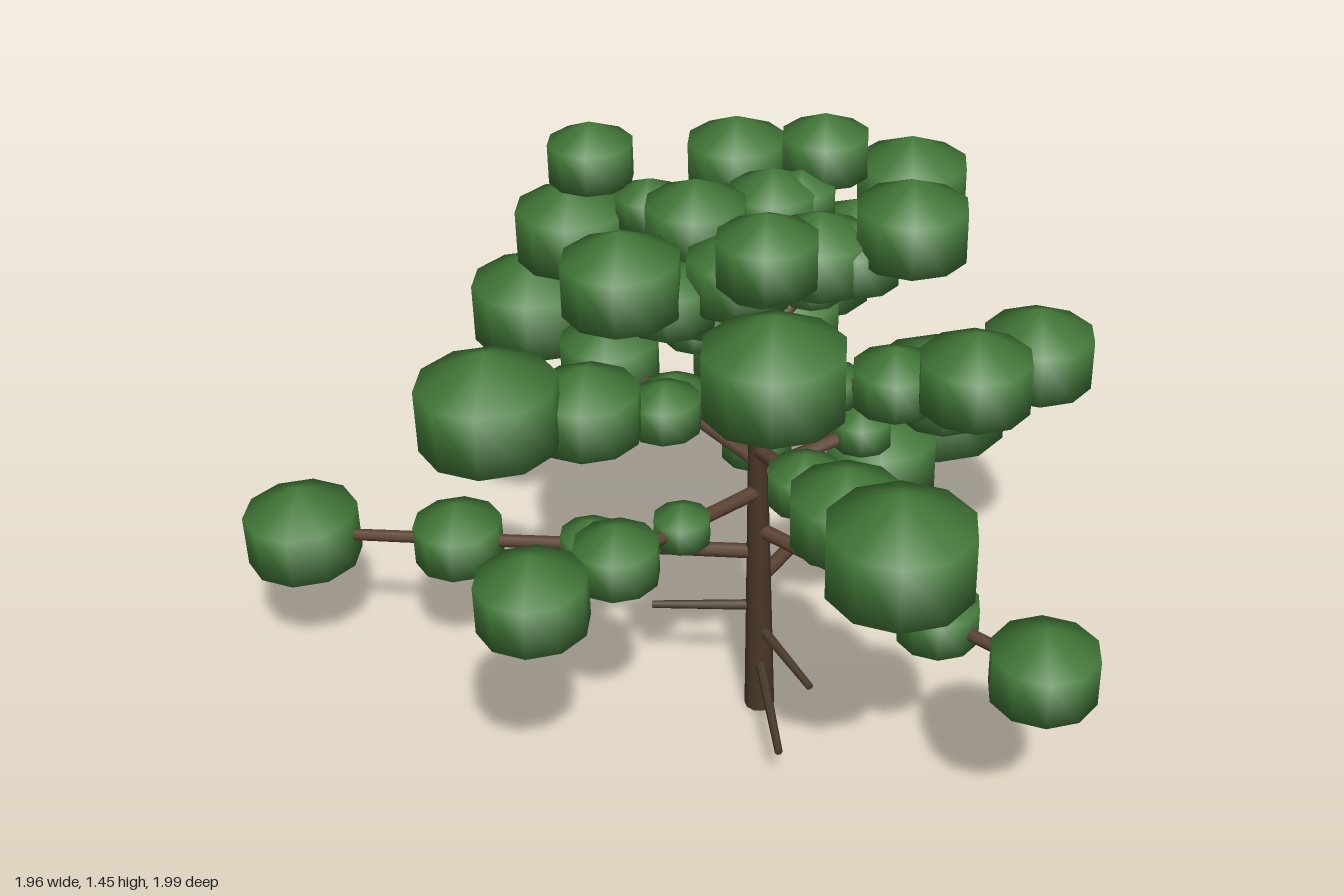
import * as THREE from 'three';

const TRUNK_X = -0.19, TRUNK_Z = 0.09;

const barkMat = new THREE.MeshStandardMaterial({ color: 0x4a3728 });
const branchMat = new THREE.MeshStandardMaterial({ color: 0x5c4433 });
const twigMat = new THREE.MeshStandardMaterial({ color: 0x4a3c2b });
const leafMat = new THREE.MeshStandardMaterial({ color: 0x437a39 });

// Foliage puff: squashed low-poly ball with a hexagonal side outline
const puffGeo = new THREE.SphereGeometry(1, 10, 3);
puffGeo.scale(1 / 0.866, 0.95, 1 / 0.866);

// Tapered round stick between two points
function stick(name, a, b, ra, rb, mat, sides = 7) {
  const dir = b.clone().sub(a);
  const mesh = new THREE.Mesh(new THREE.CylinderGeometry(rb, ra, dir.length(), sides), mat);
  mesh.name = name;
  mesh.position.copy(a).add(b).multiplyScalar(0.5);
  mesh.quaternion.setFromUnitVectors(new THREE.Vector3(0, 1, 0), dir.normalize());
  return mesh;
}

// Branches: height on trunk, tip x, y, z, radius of the outermost puff
const BRANCHES = [
  // lower tier
  [0.37, 0.79, 0.33, -0.08, 0.187],
  [0.45, -0.74, 0.385, -0.87, 0.135],
  [0.515, -0.22, 0.515, 0.88, 0.118],
  [0.62, -0.865, 0.685, 0.04, 0.12],
  [0.605, 0.355, 0.585, -0.36, 0.163],
  // middle tier
  [0.67, 0.465, 0.79, 0.41, 0.132],
  [0.7, -0.165, 0.845, -0.615, 0.15],
  [0.73, -0.48, 0.873, 0.685, 0.155],
  [0.82, 0.29, 0.92, -0.125, 0.137],
  [0.83, -0.745, 1.0, -0.175, 0.15],
  [0.89, -0.14, 1.088, 0.62, 0.118],
  [0.9, -0.1, 1.075, -0.475, 0.132],
  // crown
  [1.02, 0.275, 1.23, 0.16, 0.127],
  [1.02, -0.545, 1.21, 0.42, 0.145],
  [1.04, -0.5, 1.25, -0.015, 0.125],
  [1.03, -0.33, 1.21, -0.31, 0.125],
  [1.08, -0.03, 1.31, 0.375, 0.12],
  [1.1, 0.02, 1.3, -0.135, 0.112],
  [1.12, -0.385, 1.355, 0.275, 0.105],
  [1.12, -0.28, 1.365, -0.295, 0.093],
  [1.14, 0.08, 1.355, 0.065, 0.097],
];

// Each branch carries puffs that grow towards its tip: [distance, size]
const PUFFS = [[0.36, 0.53], [0.65, 0.78], [1, 1]];

// Bare twigs low on the trunk: height on trunk, tip x, y, z
const TWIGS = [
  [0.14, -0.385, 0.09, 0.305],
  [0.235, -0.27, 0.208, 0.305],
  [0.295, -0.33, 0.28, -0.12],
];

// Puffs closing the crown around the trunk top: x, y, z, radius
const CROWN = [
  [-0.245, 1.28, -0.03, 0.11],
  [-0.07, 1.27, 0.04, 0.1],
  [-0.3, 1.23, 0.13, 0.11],
  [-0.14, 1.24, 0.22, 0.11],
];

export function createModel() {
  const tree = new THREE.Group();
  tree.name = 'tree';

  const onTrunk = (y) => new THREE.Vector3(TRUNK_X, y, TRUNK_Z);
  const addPuff = (parent, pos, r) => {
    const puff = new THREE.Mesh(puffGeo, leafMat);
    puff.name = 'foliagePuff';
    puff.position.copy(pos);
    puff.scale.setScalar(r);
    parent.add(puff);
  };

  // Trunk
  tree.add(stick('trunk', onTrunk(0), onTrunk(1.25), 0.036, 0.012, barkMat, 10));

  // Bare twigs
  for (const [y, ...tip] of TWIGS) {
    tree.add(stick('bareTwig', onTrunk(y), new THREE.Vector3(...tip), 0.013, 0.009, twigMat, 6));
  }

  // Branches with foliage
  for (const [y, tx, ty, tz, r] of BRANCHES) {
    const branch = new THREE.Group();
    branch.name = 'branch';
    const base = onTrunk(y), tip = new THREE.Vector3(tx, ty, tz);
    branch.add(stick('branchWood', base, base.clone().lerp(tip, 0.92), 0.018, 0.014, branchMat));
    for (const [t, s] of PUFFS) addPuff(branch, base.clone().lerp(tip, t), r * s);
    tree.add(branch);
  }

  // Crown
  const crown = new THREE.Group();
  crown.name = 'crown';
  for (const [x, y, z, r] of CROWN) addPuff(crown, new THREE.Vector3(x, y, z), r);
  tree.add(crown);

  // The puff geometry is normalised to its outer ring radius
  return tree;
}
